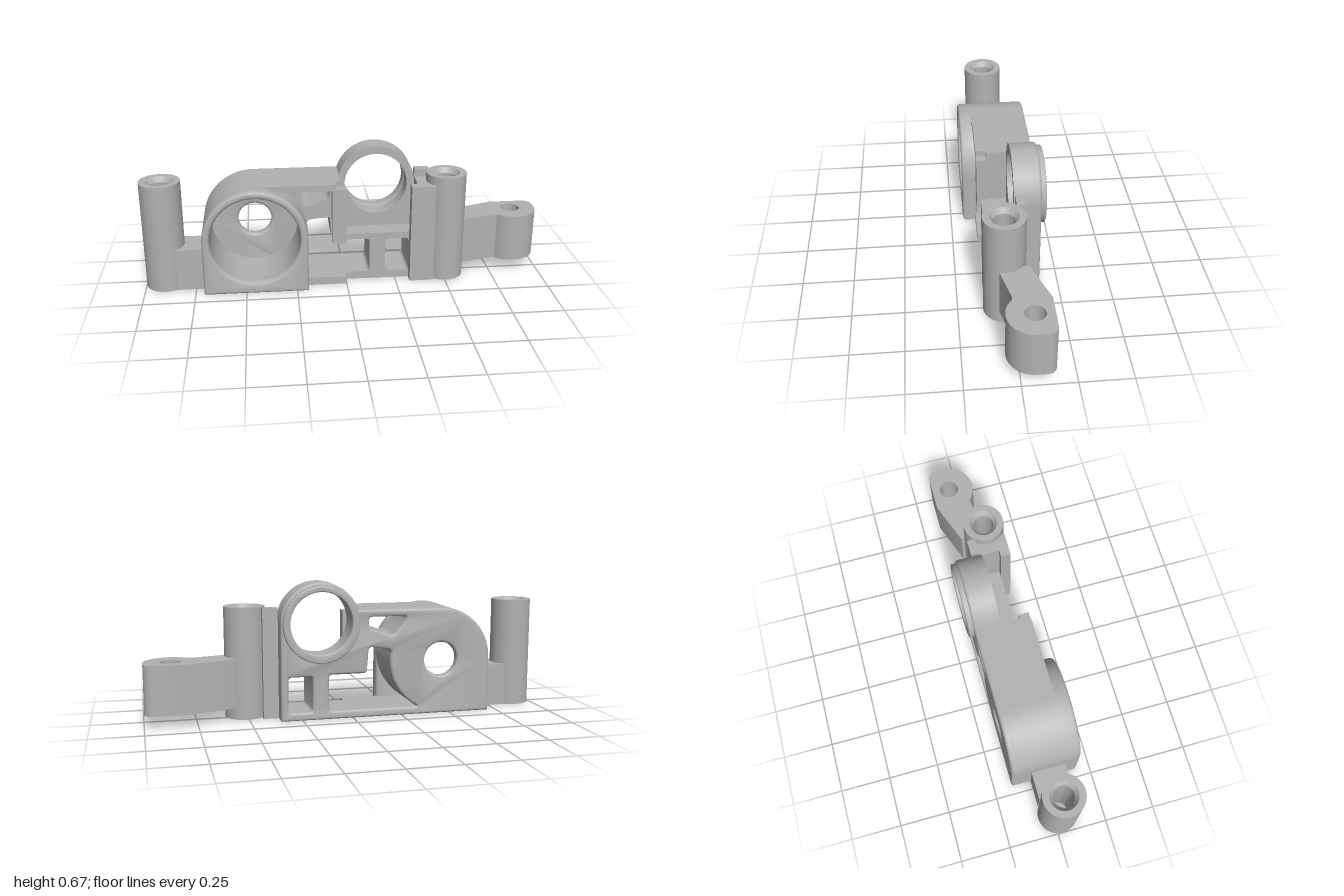
import * as THREE from 'three';
import { toCreasedNormals } from 'three/addons/utils/BufferGeometryUtils.js';

const PI = Math.PI;
const CUP = { x: -0.45, y: 0.275, r: 0.257, bore: 0.22 };
const RING = { x: 0.16, y: 0.475, r: 0.195, bore: 0.157 };

const circle = (x, y, r) => new THREE.Path().absarc(x, y, r, 0, PI * 2, true);

// Closed polygon with rounded corners
function roundedPoly(pts, r) {
  const path = new THREE.Path();
  const v = pts.map(p => new THREE.Vector2(...p));
  v.forEach((p, i) => {
    const cut = q => {
      const d = q.clone().sub(p);
      return p.clone().add(d.setLength(Math.min(r, d.length() * 0.45)));
    };
    const a = cut(v[(i + v.length - 1) % v.length]);
    const b = cut(v[(i + 1) % v.length]);
    if (i === 0) path.moveTo(a.x, a.y); else path.lineTo(a.x, a.y);
    path.quadraticCurveTo(p.x, p.y, b.x, b.y);
  });
  path.closePath();
  return path;
}

// Lightening windows of the frame
function windows() {
  const arc = [];
  for (let i = 0; i <= 8; i++) {
    const a = THREE.MathUtils.degToRad(-64 + i * 9.6);
    arc.push([CUP.x + 0.262 * Math.cos(a), CUP.y + 0.262 * Math.sin(a)]);
  }
  return [
    roundedPoly([...arc, [-0.08, 0.35], [-0.07, 0.22], [0.12, 0.22], [0.12, 0.04]], 0.02),
    roundedPoly([[-0.275, 0.497], [-0.08, 0.497], [-0.08, 0.445], [-0.2, 0.4], [-0.25, 0.455]], 0.02),
    roundedPoly([[0.2, 0.04], [0.32, 0.04], [0.32, 0.215], [0.2, 0.215]], 0.02),
  ];
}

// Dome end shared by all frame layers, drawn from the flat top down the left side
const domeEnd = s => {
  s.lineTo(CUP.x, CUP.y + CUP.r);
  s.absarc(CUP.x, CUP.y, CUP.r, PI / 2, PI);
  s.closePath();
  return s;
};

// Full frame outline with the dome and the ring
function frameShape(cupHole) {
  const s = new THREE.Shape().moveTo(-0.707, 0).lineTo(0.355, 0);
  s.absarc(RING.x, RING.y, RING.r, 0, PI - 0.297);
  domeEnd(s);
  s.holes.push(...windows(), circle(CUP.x, CUP.y, cupHole), circle(RING.x, RING.y, RING.bore));
  return s;
}

// Frame outline in front of the ring: a low shelf on the right
function shelfShape() {
  const s = new THREE.Shape().moveTo(-0.707, 0).lineTo(0.355, 0).lineTo(0.355, 0.25)
    .lineTo(-0.03, 0.25).lineTo(-0.03, 0.532);
  domeEnd(s);
  s.holes.push(...windows(), circle(CUP.x, CUP.y, CUP.bore));
  return s;
}

export function createModel() {
  const model = new THREE.Group();
  model.name = 'bracket';
  const grey = new THREE.MeshStandardMaterial({ color: 0xb2b2b2 });
  grey.name = 'grey';

  const add = (name, geometry) => {
    const mesh = new THREE.Mesh(toCreasedNormals(geometry, 0.6), grey);
    mesh.name = name;
    model.add(mesh);
    return mesh;
  };
  const box = (name, x0, x1, y0, y1, z0, z1) => {
    const g = new THREE.BoxGeometry(x1 - x0, y1 - y0, z1 - z0);
    add(name, g.translate((x0 + x1) / 2, (y0 + y1) / 2, (z0 + z1) / 2));
  };
  // Extrusion from z0 to z1; the bevel cuts into the outline
  const slab = (name, shape, z0, z1, bevel = 0) => {
    const g = new THREE.ExtrudeGeometry(shape, {
      depth: z1 - z0 - 2 * bevel, curveSegments: 32, bevelEnabled: bevel > 0,
      bevelThickness: bevel, bevelSize: bevel, bevelOffset: -bevel, bevelSegments: 3,
    });
    add(name, g.translate(0, 0, z0 + bevel));
  };

  // Main frame in layers from back to front
  slab('backPlate', frameShape(0.085), -0.16, -0.11, 0.012);
  slab('frame', frameShape(CUP.bore), -0.14, -0.03);
  slab('shelfFrame', shelfShape(), -0.03, 0.07);

  // Cup barrel, square at its outer lower corner
  const barrel = new THREE.Shape().moveTo(-0.707, 0).lineTo(CUP.x, 0);
  barrel.absarc(CUP.x, CUP.y, CUP.r, -PI / 2, PI);
  barrel.closePath();
  barrel.holes.push(circle(CUP.x, CUP.y, CUP.bore));
  slab('cupBarrel', barrel, 0.07, 0.13);

  // Cup front rim with a square foot
  const rim = new THREE.Shape().moveTo(-0.707, 0).lineTo(-0.193, 0);
  rim.absarc(CUP.x, CUP.y, CUP.r, 0, PI);
  rim.closePath();
  rim.holes.push(circle(CUP.x, CUP.y, CUP.bore));
  slab('cupRim', rim, 0.11, 0.185, 0.014);

  // Lip behind the ring
  const lip = new THREE.Shape().absarc(RING.x, 0.468, 0.186, 0, PI * 2);
  lip.holes.push(circle(RING.x, RING.y, 0.152));
  slab('ringLip', lip, -0.185, -0.12, 0.005);

  // Top plate, base and guide rails
  box('topPlate', -0.45, -0.05, 0.5, 0.532, 0.06, 0.12);
  box('basePlate', -0.45, 0, 0, 0.04, 0.06, 0.12);
  box('leftRail', -0.07, 0, 0.22, 0.505, 0.07, 0.12);
  box('rightRail', 0.32, 0.44, 0, 0.505, 0.07, 0.12);
  box('rightWall', 0.355, 0.45, 0, 0.505, -0.04, 0.08);
  box('rightFin', 0.355, 0.43, 0, 0.545, -0.075, -0.035);
  box('leftTab', -0.84, -0.69, 0, 0.215, -0.06, 0.11);

  // Two bored posts with countersunk ends
  const h = 0.548;
  const profile = [[0.065, 0], [0.1, 0], [0.1, h], [0.068, h], [0.05, h - 0.025],
    [0.05, 0.025], [0.065, 0]].map(p => new THREE.Vector2(...p));
  for (const [name, x, z] of [['leftPost', -0.9, 0.025], ['rightPost', 0.505, 0.029]]) {
    add(name, new THREE.LatheGeometry(profile, 48)).position.set(x, 0, z);
  }

  // Side arm ending in a bored lug
  const arm = new THREE.Shape().moveTo(0.565, -0.1).lineTo(0.6, -0.06).lineTo(0.76, -0.02);
  arm.absarc(0.87, 0.07, 0.128, PI * 1.25, PI * 2);
  arm.lineTo(0.998, 0.12).quadraticCurveTo(0.99, 0.158, 0.95, 0.158);
  arm.lineTo(0.78, 0.158).lineTo(0.565, 0.08).closePath();
  arm.holes.push(circle(0.87, 0.07, 0.048));
  const armGeo = new THREE.ExtrudeGeometry(arm, { depth: 0.24, bevelEnabled: false, curveSegments: 32 });
  add('sideArm', armGeo.rotateX(-PI / 2).translate(0, 0.063, 0));

  return model;
}
